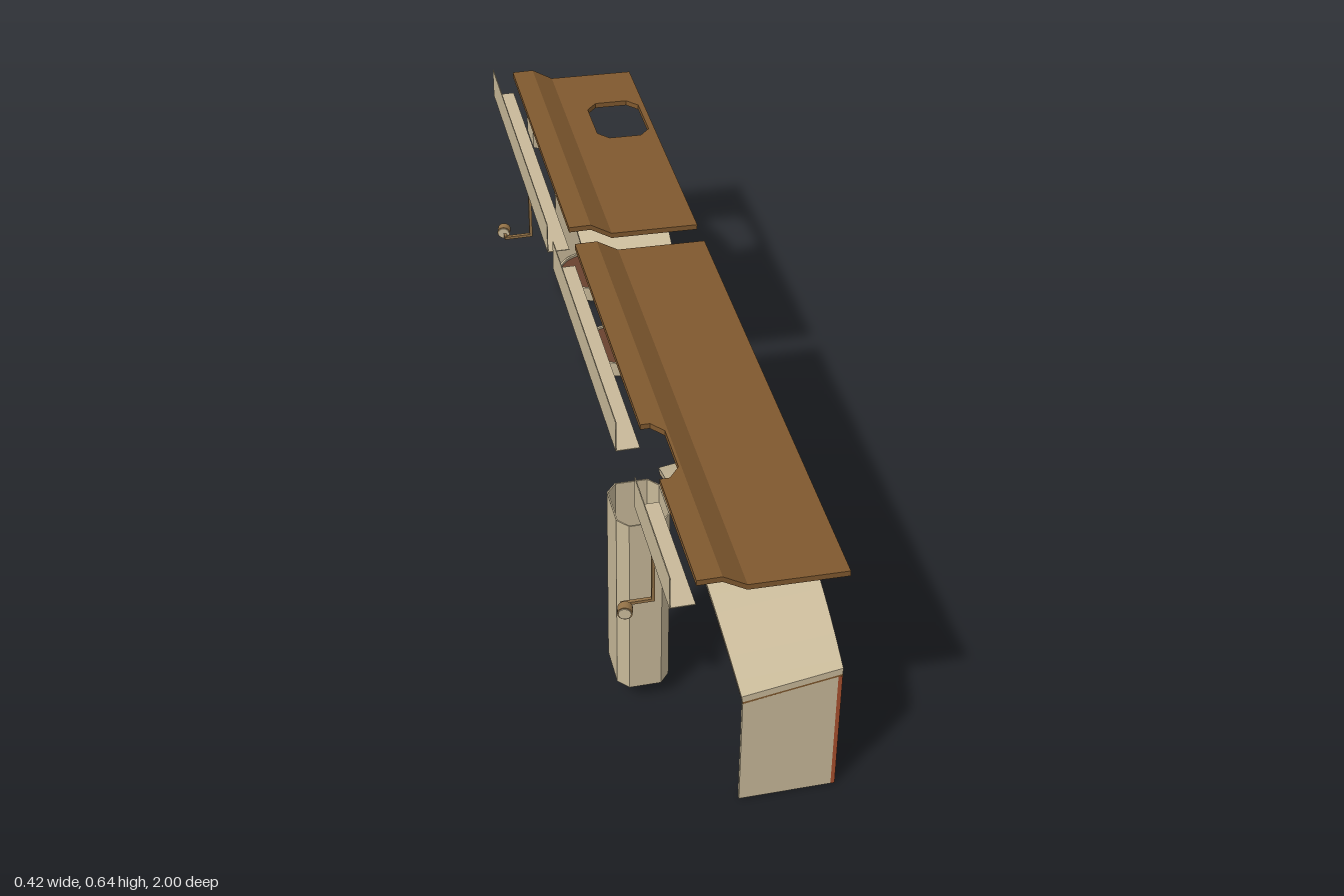
import * as THREE from 'three';
import { mergeGeometries, toCreasedNormals } from 'three/addons/utils/BufferGeometryUtils.js';

const mat = (name, color, side = THREE.FrontSide) => {
  const m = new THREE.MeshStandardMaterial({ color, side });
  m.name = name;
  return m;
};

// shape from [x, y] points
const poly = (pts) => new THREE.Shape(pts.map(([x, y]) => new THREE.Vector2(x, y)));
const extrude = (shape, depth) => new THREE.ExtrudeGeometry(shape, { depth, bevelEnabled: false });
// chamfered rectangle
const octagon = (cx, cy, hx, hy, fx, fy) => [
  [cx - hx, cy - fy], [cx - fx, cy - hy], [cx + fx, cy - hy], [cx + hx, cy - fy],
  [cx + hx, cy + fy], [cx + fx, cy + hy], [cx - fx, cy + hy], [cx - hx, cy + fy]];

// horizontal slab from a plan shape in (x, -z), every vertex moved by a rule
function planSlab(shape, thickness, rule) {
  const g = extrude(shape, thickness).rotateX(-Math.PI / 2);
  const p = g.attributes.position;
  const v = new THREE.Vector3();
  for (let i = 0; i < p.count; i++) {
    rule(v.fromBufferAttribute(p, i));
    p.setXYZ(i, v.x, v.y, v.z);
  }
  g.computeVertexNormals();
  return g;
}

// remove the end faces between neighbouring strips
function dropInner(g, keep) {
  const a = g.attributes.position.array, out = [];
  for (let i = 0; i < a.length; i += 9) {
    const z = a[i + 2];
    const flat = Math.abs(a[i + 5] - z) < 1e-5 && Math.abs(a[i + 8] - z) < 1e-5;
    if (flat && !keep.some((k) => Math.abs(k - z) < 1e-4)) continue;
    for (let j = 0; j < 9; j++) out.push(a[i + j]);
  }
  const r = new THREE.BufferGeometry();
  r.setAttribute('position', new THREE.Float32BufferAttribute(out, 3));
  r.computeVertexNormals();
  return r;
}

export function createModel() {
  const root = new THREE.Group();
  const cream = mat('cream', 0xc8b999, THREE.DoubleSide);
  const brown = mat('brown', 0x80592f);
  const red = mat('brickRed', 0xa8502e);
  const dark = mat('darkBrown', 0x69422f);
  const bronze = mat('bronze', 0x947348);

  const add = (name, geo, material, x = 0, y = 0, z = 0, parent = root) => {
    const m = new THREE.Mesh(geo, material);
    m.name = name;
    m.position.set(x, y, z);
    parent.add(m);
    return m;
  };
  const box = (name, x0, x1, y0, y1, z0, z1, material, parent) =>
    add(name, new THREE.BoxGeometry(x1 - x0, y1 - y0, z1 - z0), material,
      (x0 + x1) / 2, (y0 + y1) / 2, (z0 + z1) / 2, parent);

  // roof sheets: raised lip, slope and long flat
  const roofY = (x) => x <= -0.05 ? 0.617 : x <= 0 ? 0.587 - x * 0.6 : 0.587 - x * 0.024;
  const rect = (x0, x1, z0, z1) => poly([[x0, -z0], [x0, -z1], [x1, -z1], [x1, -z0]]);
  const roof = (name, shapes) => add(name,
    mergeGeometries(shapes.map((s) => planSlab(s, 0.013, (v) => { v.y += roofY(v.x); }))), brown);
  const holed = rect(0, 0.207, -1, -0.25);
  holed.holes.push(new THREE.Path(
    octagon(0.126, 0.765, 0.066, 0.087, 0.04, 0.06).map(([x, y]) => new THREE.Vector2(x, y))));
  roof('roofWithOpening', [rect(-0.102, -0.05, -1, -0.25), rect(-0.05, 0, -1, -0.25), holed]);
  const notched = poly([[-0.102, 0.18], [-0.05, 0.18], [-0.05, -1], [-0.102, -1], [-0.102, -0.69],
    [-0.081, -0.69], [-0.056, -0.66], [-0.056, -0.54], [-0.081, -0.51], [-0.102, -0.51]]);
  roof('roofWithNotch', [notched, rect(-0.05, 0, -0.18, 1), rect(0, 0.207, -0.18, 1)]);

  // L-shaped gutters along the roof lip
  for (const [z0, z1] of [[-1, -0.25], [-0.18, 0.51], [0.69, 1]]) {
    box('gutterBack', -0.154, -0.152, 0.568, 0.645, z0, z1, cream);
    box('gutterFloor', -0.154, -0.102, 0.568, 0.57, z0, z1, cream);
  }

  // duct under the roof
  add('duct', extrude(poly([[-0.101, 0.57], [-0.035, 0.546], [0.061, 0.535], [0.061, 0.585],
    [0, 0.587], [-0.05, 0.617], [-0.101, 0.617]]), 0.084), cream, 0, 0, -0.803);

  // hollow eight-sided column
  const tube = poly(octagon(-0.127, -0.607, 0.057, 0.071, 0.035, 0.046));
  tube.holes.push(new THREE.Path(
    octagon(-0.127, -0.607, 0.054, 0.068, 0.034, 0.045).map(([x, y]) => new THREE.Vector2(x, y))));
  add('column', planSlab(tube, 0.46, (v) => { v.y += 0.045; }), cream);

  // arched hoods with an outer wall and one end wall
  const RISE = 0.108;
  function hood(z0, z1, wallZ, hole) {
    const g = new THREE.Group();
    g.name = 'hood';
    root.add(g);
    const mid = (z0 + z1) / 2, half = (z1 - z0) / 2;
    const rise = (z) => RISE * (1 - ((z - mid) / half) ** 2);
    const cuts = [];
    for (let i = 0; i <= 24; i++) cuts.push(z0 + (z1 - z0) * i / 24);
    if (hole) {
      for (const s of [-1, 1]) cuts.push(hole.z + s * hole.hz, hole.z + s * hole.fz);
      cuts.sort((a, b) => a - b);
    }
    const width = (z) => {
      const d = Math.abs(z - hole.z);
      return d <= hole.fz ? hole.hx
        : hole.hx + (hole.fx - hole.hx) * (d - hole.fz) / (hole.hz - hole.fz);
    };
    const strips = [];
    for (let i = 0; i + 1 < cuts.length; i++) {
      const a = cuts[i], b = cuts[i + 1];
      if (b - a < 1e-4) continue;
      if (hole && Math.abs((a + b) / 2 - hole.z) < hole.hz) {
        const wa = width(a), wb = width(b), c = hole.x;
        strips.push(poly([[0, -a], [0, -b], [c - wb, -b], [c - wa, -a]]));
        strips.push(poly([[c + wa, -a], [c + wb, -b], [0.207, -b], [0.207, -a]]));
      } else strips.push(rect(0, 0.207, a, b));
    }
    const layer = (name, y0, t, material) => {
      const parts = strips.map((s) => planSlab(s, t, (v) => {
        const up = rise(v.z) + y0 + v.y;
        if (v.x < 1e-4) v.x = -0.145 * up;
        v.y = 0.277 + 0.17 * v.x + up;
      }));
      const keep = [z0, z1].concat(hole ? [hole.z - hole.hz, hole.z + hole.hz] : []);
      add(name, toCreasedNormals(dropInner(mergeGeometries(parts), keep), 0.5), material, 0, 0, 0, g);
    };
    layer('hoodTop', 0.005, 0.016, cream);
    layer('hoodLining', 0, 0.005, brown);

    // outer wall under the arch
    const pts = [[-z0, 0], [-z0, 0.311]];
    for (let i = 1; i < 24; i++) {
      const z = z0 + (z1 - z0) * i / 24;
      pts.push([-z, 0.311 + rise(z)]);
    }
    pts.push([-z1, 0.311], [-z1, 0]);
    add('outerWall', extrude(poly(pts), 0.009).rotateY(Math.PI / 2), red, 0.198, 0, 0, g);
    add('endWall', extrude(poly([[0, 0], [0.198, 0], [0.198, 0.311], [0, 0.278]]), 0.009),
      cream, 0, 0, wallZ, g);
  }
  hood(0.26, 1, 0.991, null);
  hood(-1, -0.445, -1, { x: 0.126, z: -0.76, hx: 0.053, hz: 0.073, fx: 0.026, fz: 0.042 });

  // flue panels through the hood opening
  box('fluePanelSide', 0.072, 0.075, 0.035, 0.507, -0.802, -0.718, dark);
  box('fluePanelFront', 0.1, 0.152, 0.035, 0.507, -0.688, -0.685, dark);

  // shallow round basins on the floor
  for (const z of [-0.56, -0.907]) {
    const rim = [[0, 0], [0.082, 0], [0.09, 0.006], [0.09, 0.047], [0.084, 0.047], [0.084, 0.038]];
    add('basin', toCreasedNormals(new THREE.LatheGeometry(
      rim.map(([r, y]) => new THREE.Vector2(r, y)), 32), 0.5), cream, 0.08, 0, z);
    add('basinFilling', new THREE.CylinderGeometry(0.084, 0.084, 0.004, 32), dark, 0.08, 0.039, z);
  }

  // hanging lamps with a bent rod
  for (const [z, s] of [[0.743, 1], [-0.65, -1]]) {
    const g = new THREE.Group();
    g.name = 'lamp';
    g.position.z = z;
    root.add(g);
    box('lampMount', -0.139, -0.115, 0.564, 0.568, -0.012, 0.012, bronze, g);
    box('lampRod', -0.13, -0.123, 0.353, 0.566, -0.004, 0.004, bronze, g);
    box('lampArm', -0.194, -0.13, 0.353, 0.36, -0.004, 0.004, bronze, g);
    box('lampLink', -0.194, -0.187, 0.354, 0.361, s > 0 ? 0 : -0.02, s > 0 ? 0.02 : 0, bronze, g);
    const head = add('lampHead', new THREE.CylinderGeometry(0.016, 0.016, 0.02, 16), bronze,
      -0.191, 0.361, s * 0.026, g);
    head.rotation.set(Math.PI / 2, 0, 0.25);
    const glass = new THREE.CylinderGeometry(0.0135, 0.0135, 0.024, 16);
    add('lampGlass', glass, cream, 0, 0, 0, head);
  }
  return root;
}
